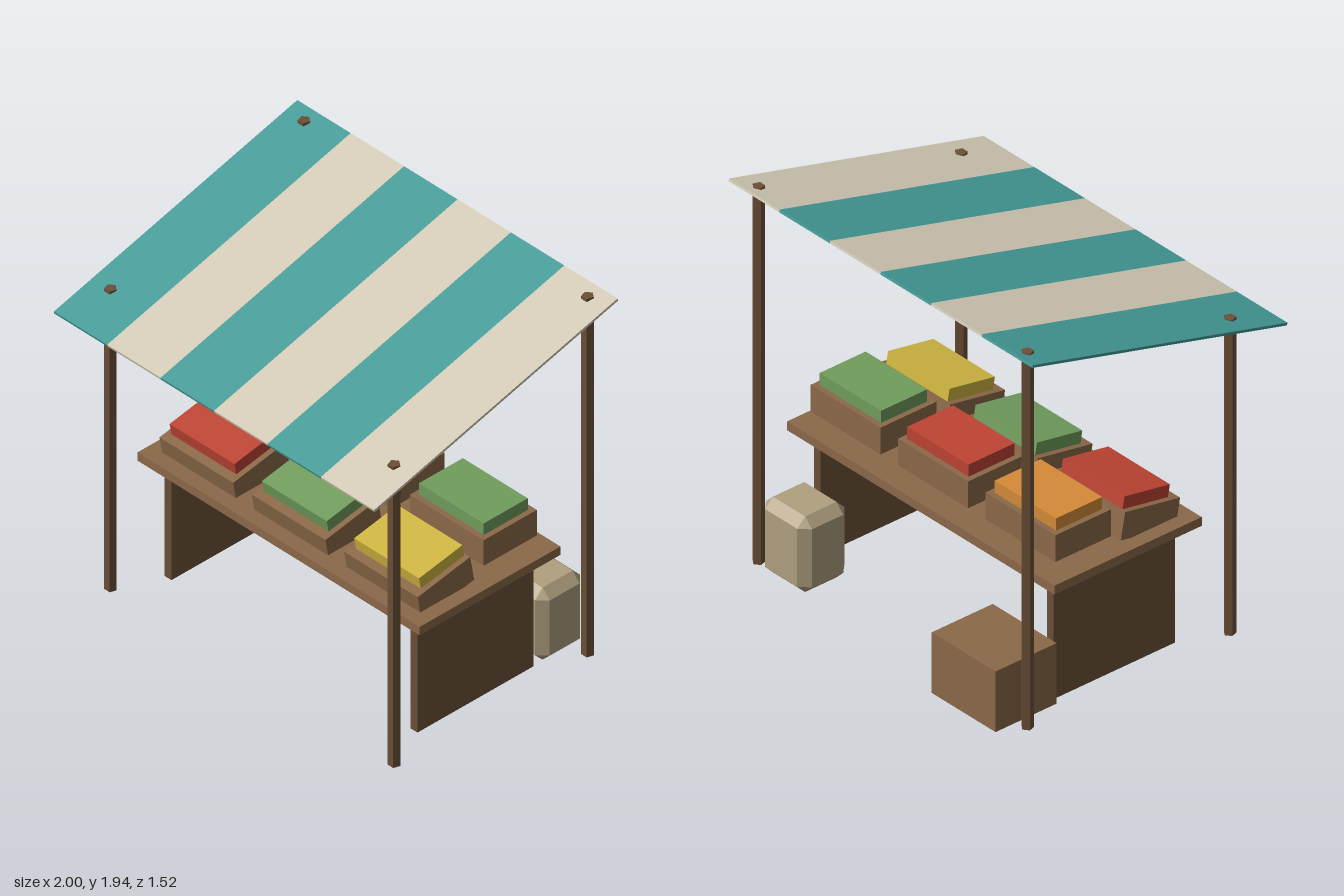
import * as THREE from 'three';
import { ConvexGeometry } from 'three/addons/geometries/ConvexGeometry.js';

const mat = (color) => new THREE.MeshStandardMaterial({ color, flatShading: true });
const WOOD = mat(0x8c6949), DARK_WOOD = mat(0x6c5037), SACK = mat(0xb0a080);
const TEAL = mat(0x439a97), CREAM = mat(0xd3cab6);
const RED = mat(0xbe4434), GREEN = mat(0x719d5d), YELLOW = mat(0xd0b541), ORANGE = mat(0xd58b37);

function add(parent, name, geometry, material, x, y, z) {
  const mesh = new THREE.Mesh(geometry, material);
  mesh.name = name;
  mesh.position.set(x, y, z);
  parent.add(mesh);
  return mesh;
}
const box = (w, h, d) => new THREE.BoxGeometry(w, h, d);

// Box with every edge and corner cut by b
function chamferedBox(w, h, d, b) {
  const points = [];
  for (const sx of [-1, 1]) for (const sy of [-1, 1]) for (const sz of [-1, 1]) {
    const x = w / 2, y = h / 2, z = d / 2;
    points.push(
      new THREE.Vector3(sx * x, sy * (y - b), sz * (z - b)),
      new THREE.Vector3(sx * (x - b), sy * y, sz * (z - b)),
      new THREE.Vector3(sx * (x - b), sy * (y - b), sz * z));
  }
  return new ConvexGeometry(points);
}

// Crate with a block of produce rising out of it
function produceCrate(name, material, x, y, z, tilt, shift) {
  const crate = new THREE.Group();
  crate.name = name;
  add(crate, 'crate', box(0.46, 0.137, 0.32), WOOD, 0, 0, 0);
  add(crate, 'produce', box(0.405, 0.08, 0.264), material, 0, 0.0905, shift);
  crate.position.set(x, y, z);
  crate.rotation.x = tilt;
  return crate;
}

export function createModel() {
  const stall = new THREE.Group();
  stall.name = 'marketStall';

  // Five-sided poles, taller at the back
  for (const x of [-0.885, 0.885]) {
    for (const [name, z, h] of [['frontPole', 0.53, 1.617], ['backPole', -0.63, 1.927]]) {
      const geometry = new THREE.CylinderGeometry(0.029, 0.029, h, 5).rotateY(Math.PI);
      add(stall, name, geometry, DARK_WOOD, x, h / 2, z);
    }
    // Side panels carrying the counter
    add(stall, 'sidePanel', box(0.042, 0.61, 0.695), DARK_WOOD, Math.sign(x) * 0.768, 0.305, -0.048);
  }

  // Counter
  add(stall, 'counterTop', box(1.76, 0.045, 0.845), WOOD, 0, 0.6325, -0.048);

  // Sloping striped awning
  const awning = new THREE.Group();
  awning.name = 'awning';
  for (let i = 0; i < 6; i++) {
    add(awning, 'awningStripe', box(1 / 3, 0.013, 1.511), i % 2 ? CREAM : TEAL, -5 / 6 + i / 3, 0, 0);
  }
  awning.position.set(0, 1.735, 0.03);
  awning.rotation.x = 0.261;
  stall.add(awning);

  // Two rows of crates: tilted in front, level behind
  const frontRow = [RED, GREEN, YELLOW], backRow = [ORANGE, RED, GREEN];
  for (let i = 0; i < 3; i++) {
    const x = (i - 1) * 0.576;
    stall.add(produceCrate('frontCrate', frontRow[i], x, 0.705, 0.145, 0.175, -0.018));
    stall.add(produceCrate('backCrate', backRow[i], x, 0.78, -0.24, 0, 0));
  }

  // Goods stored behind the counter
  add(stall, 'storageBox', box(0.42, 0.31, 0.35), WOOD, -0.615, 0.155, -0.585);
  add(stall, 'sack', chamferedBox(0.302, 0.387, 0.27, 0.045), SACK, 0.675, 0.1935, -0.548);

  return stall;
}
